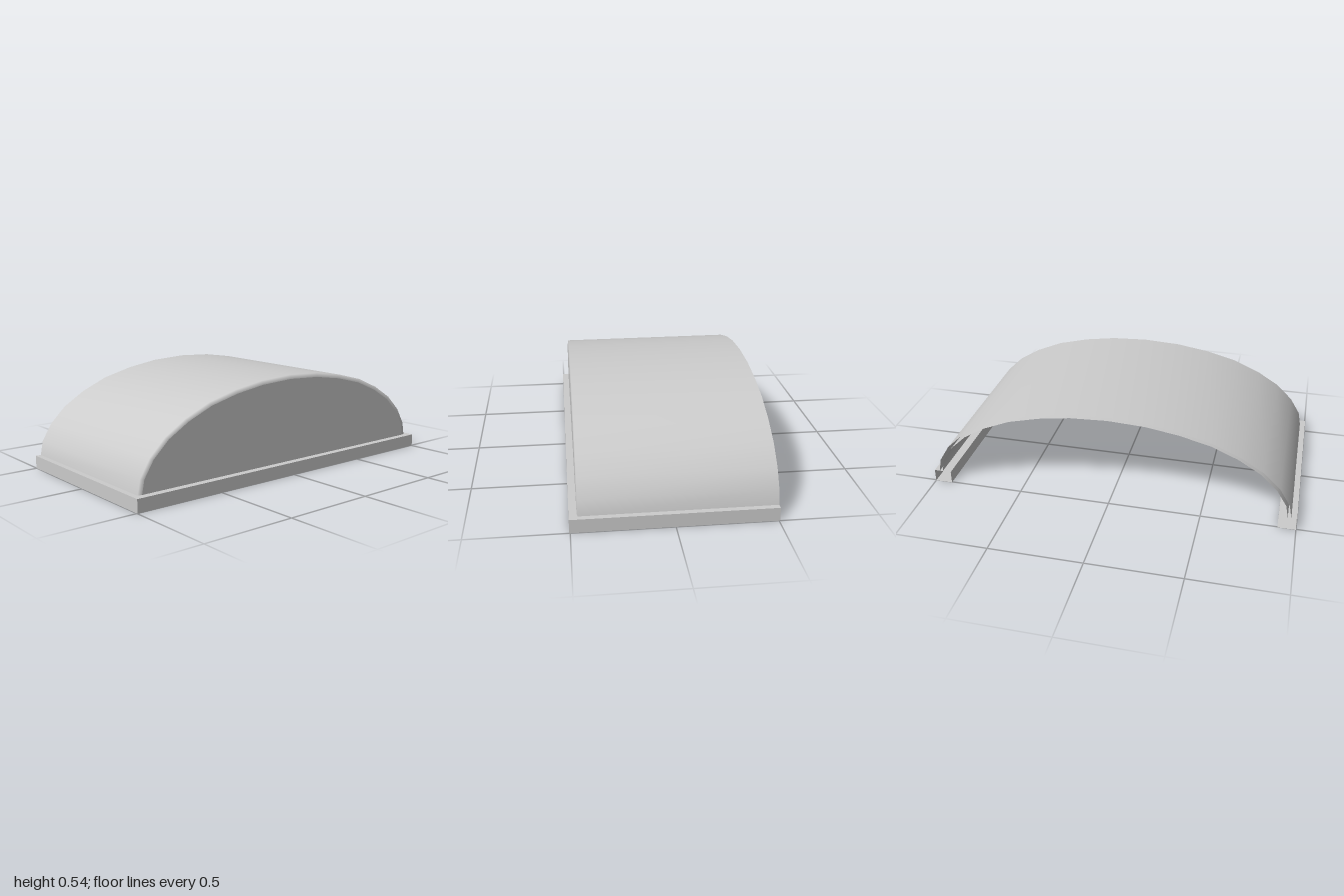
import * as THREE from 'three';

const BACK = -0.505, FRONT = 0.505, RAIL_H = 0.07, RAIL_W = 0.095;
const material = new THREE.MeshStandardMaterial({ color: 0xcccccc, side: THREE.DoubleSide });

// Half of the arch, from the foot to the crown
const half = [[0.97, 0.07], [0.955, 0.145], [0.9, 0.235], [0.81, 0.322], [0.69, 0.395],
  [0.545, 0.457], [0.375, 0.5], [0.2, 0.527], [0, 0.537]];

// Full arch from -x to +x, drawn in by an inset, with an optional rise of the crown
function arch(inset, rise = 0) {
  const sx = 1 - inset / 0.97;
  const sy = (0.467 - inset + rise) / 0.467;
  const right = half.map(([x, y]) => [x * sx, RAIL_H + (y - RAIL_H) * sy]);
  const left = right.slice(0, -1).map(([x, y]) => [-x, y]);
  return [...left, ...right.reverse()];
}

const archRow = (inset, z, rise) => arch(inset, rise).map(([x, y]) => [x, y, z]);

// Skin joining rows that have equal numbers of points
function loft(rows, flat) {
  const n = rows[0].length, index = [];
  for (let i = 0; i < rows.length - 1; i++) {
    for (let j = 0; j < n - 1; j++) {
      const a = i * n + j, b = a + 1, d = a + n, c = d + 1;
      index.push(a, c, b, a, d, c);
    }
  }
  let geometry = new THREE.BufferGeometry();
  geometry.setAttribute('position', new THREE.Float32BufferAttribute(rows.flat(2), 3));
  geometry.setIndex(index);
  if (flat) geometry = geometry.toNonIndexed();
  geometry.computeVertexNormals();
  return geometry;
}

// Flat wall filling the arch
function wall(inset, z) {
  const shape = new THREE.Shape(arch(inset).map(([x, y]) => new THREE.Vector2(x, y)));
  return new THREE.ShapeGeometry(shape).translate(0, 0, z);
}

// U-shaped run of the base frame at a given inset and height
const railRow = ([d, y]) => [
  [-1 + d, y, BACK], [-1 + d, y, FRONT - d], [1 - d, y, FRONT - d], [1 - d, y, BACK],
];

export function createModel() {
  const group = new THREE.Group();
  const add = (name, geometry) => {
    const mesh = new THREE.Mesh(geometry, material);
    mesh.name = name;
    group.add(mesh);
  };

  // Hollow base frame, open at its back ends
  const section = [[RAIL_W, RAIL_H], [0, RAIL_H], [0, 0], [RAIL_W, 0], [RAIL_W, RAIL_H]];
  add('baseFrame', loft(section.map(railRow), true));

  // Vaulted canopy: outer skin with softened front edge, and inner skin
  add('canopyOuter', loft([archRow(0, BACK, 0.003), archRow(0, 0.462), archRow(0.022, 0.467)]));
  add('canopyInner', loft([archRow(0.018, 0.449), archRow(0.018, BACK, 0.003)]));

  // Front wall, outside and inside faces
  add('frontWallOuter', wall(0.022, 0.467));
  add('frontWallInner', wall(0.018, 0.449).rotateY(Math.PI).translate(0, 0, 0.898));

  return group;
}
